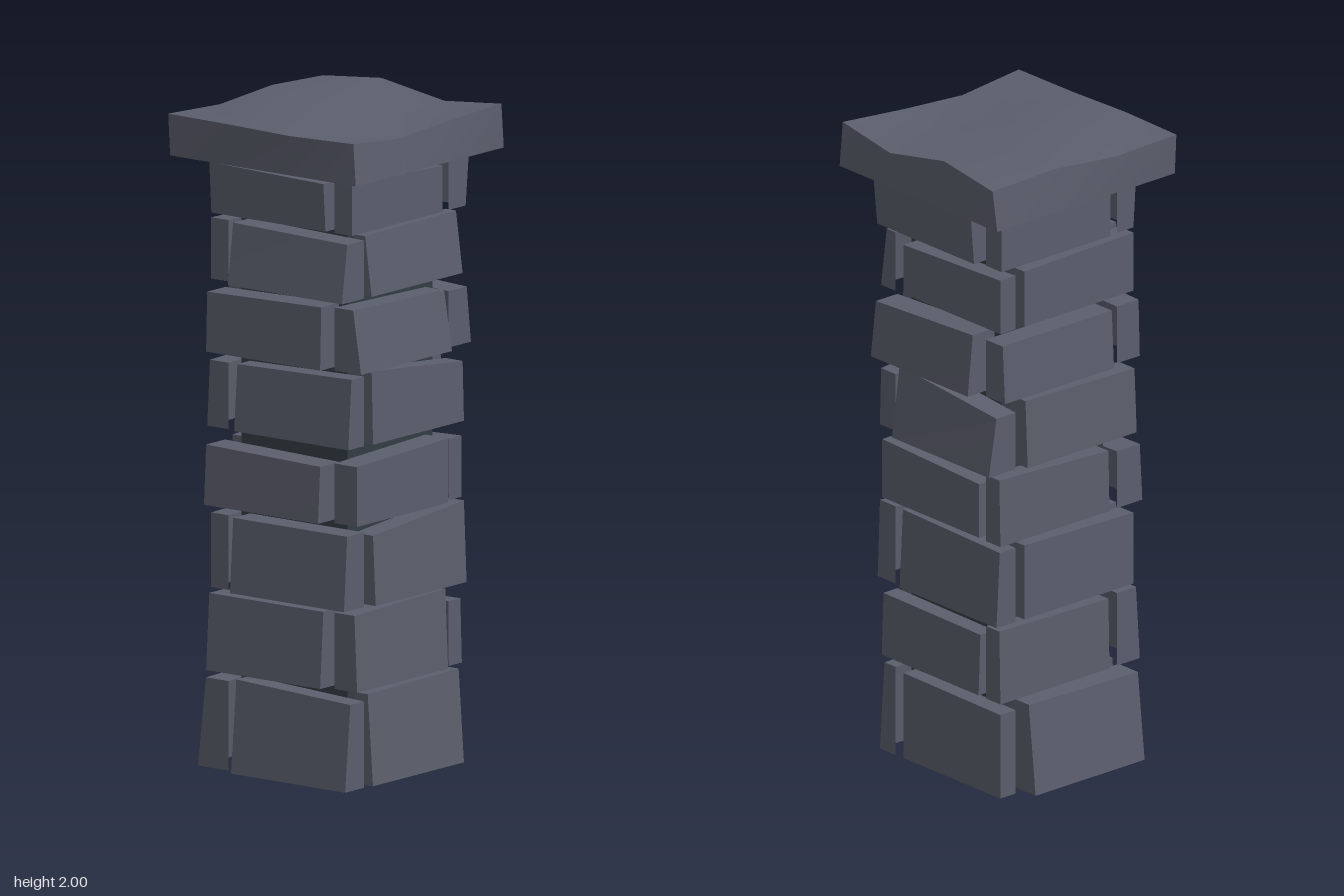
import * as THREE from 'three';

const slate = new THREE.MeshStandardMaterial({ color: 0x5b5e6c, side: THREE.DoubleSide });
slate.name = 'slate';
const mortar = new THREE.MeshStandardMaterial({ color: 0x333d42 });
mortar.name = 'mortar';

const CORE = 0.2, LONG = 0.262, SHORT = 0.168;

// Each course: base height, then front, right, back and left slabs as
// [outer distance at bottom, at top, top height at left end, at right end]
const COURSES = [
  [0, [0.27, 0.25, 0.275, 0.28], [0.26, 0.26, 0.27, 0.265], [0.315, 0.285, 0.28, 0.27], [0.29, 0.265, 0.28, 0.26]],
  [0.3, [0.285, 0.275, 0.53, 0.54], [0.262, 0.255, 0.495, 0.49], [0.265, 0.26, 0.53, 0.52], [0.29, 0.275, 0.53, 0.53]],
  [0.545, [0.28, 0.27, 0.755, 0.79], [0.275, 0.262, 0.79, 0.78], [0.265, 0.265, 0.78, 0.77], [0.295, 0.28, 0.77, 0.77]],
  [0.8, [0.285, 0.285, 0.98, 0.995], [0.26, 0.26, 0.985, 0.97], [0.265, 0.26, 1.01, 0.99], [0.3, 0.29, 0.98, 0.97]],
  [1.03, [0.27, 0.265, 1.25, 1.21], [0.305, 0.275, 1.25, 1.21], [0.28, 0.27, 1.24, 1.23], [0.275, 0.26, 1.23, 1.24]],
  [1.26, [0.3, 0.27, 1.45, 1.44], [0.305, 0.285, 1.43, 1.45], [0.285, 0.275, 1.44, 1.44], [0.29, 0.285, 1.44, 1.45]],
  [1.475, [0.265, 0.24, 1.655, 1.66], [0.26, 0.26, 1.63, 1.645], [0.265, 0.265, 1.65, 1.66], [0.305, 0.28, 1.66, 1.65]],
  [1.675, [0.265, 0.265, 1.83, 1.815], [0.28, 0.295, 1.83, 1.85], [0.27, 0.27, 1.84, 1.83], [0.265, 0.275, 1.83, 1.82]],
];

// Facing slab, open at the hidden back and underside
function slabGeometry(u0, u1, y0, [dBottom, dTop, topL, topR]) {
  const g = new THREE.BoxGeometry(1, 1, 1);
  const index = Array.from(g.index.array);
  g.setIndex([...index.slice(0, 18), ...index.slice(24, 30)]);
  g.clearGroups();
  const p = g.attributes.position;
  for (let i = 0; i < p.count; i++) {
    const right = p.getX(i) > 0, top = p.getY(i) > 0, outer = p.getZ(i) > 0;
    p.setXYZ(i, right ? u1 : u0, top ? (right ? topR : topL) : y0, outer ? (top ? dTop : dBottom) : CORE);
  }
  g.computeVertexNormals();
  return g;
}

// Capstone with a gently uneven top and outline
function capGeometry() {
  const heights = [
    [1.975, 1.965, 1.985, 1.975],
    [1.975, 2.0, 1.985, 2.0],
    [1.97, 1.97, 1.965, 1.96],
    [1.975, 1.955, 1.97, 1.985],
  ];
  const leftX = [-0.35, -0.357, -0.355, -0.345], rightX = [0.355, 0.343, 0.353, 0.335];
  const backZ = [-0.357, -0.349, -0.34, -0.335], frontZ = [0.337, 0.333, 0.337, 0.353];
  const g = new THREE.BoxGeometry(3, 1, 3, 3, 1, 3);
  const p = g.attributes.position;
  for (let i = 0; i < p.count; i++) {
    const c = Math.round(p.getX(i) + 1.5), r = Math.round(p.getZ(i) + 1.5);
    if (p.getY(i) > 0) {
      p.setXYZ(i, THREE.MathUtils.lerp(leftX[r], rightX[r], c / 3), heights[r][c],
        THREE.MathUtils.lerp(backZ[c], frontZ[c], r / 3));
    } else {
      p.setXYZ(i, (c / 3 - 0.5) * 0.7, 1.85, (r / 3 - 0.5) * 0.7);
    }
  }
  g.computeVertexNormals();
  return g;
}

export function createModel() {
  const pillar = new THREE.Group();
  pillar.name = 'stonePillar';
  const add = (parent, name, geometry, material) => {
    const mesh = new THREE.Mesh(geometry, material);
    mesh.name = name;
    parent.add(mesh);
    return mesh;
  };

  // Mortar core
  add(pillar, 'core', new THREE.BoxGeometry(2 * CORE, 1.86, 2 * CORE), mortar).position.y = 0.93;

  // Pinwheel courses, reversing direction each time
  const sides = ['front', 'right', 'back', 'left'];
  COURSES.forEach(([y0, ...slabs], row) => {
    const course = new THREE.Group();
    course.name = `course${row + 1}`;
    const [u0, u1] = row % 2 ? [-LONG, SHORT] : [-SHORT, LONG];
    slabs.forEach((slab, k) => {
      // the image-right side of the front is +x
      const mesh = add(course, `${sides[k]}Slab`, slabGeometry(u0, u1, y0, slab), slate);
      mesh.rotation.y = k * Math.PI / 2;
    });
    pillar.add(course);
  });

  add(pillar, 'capstone', capGeometry(), slate);
  return pillar;
}
